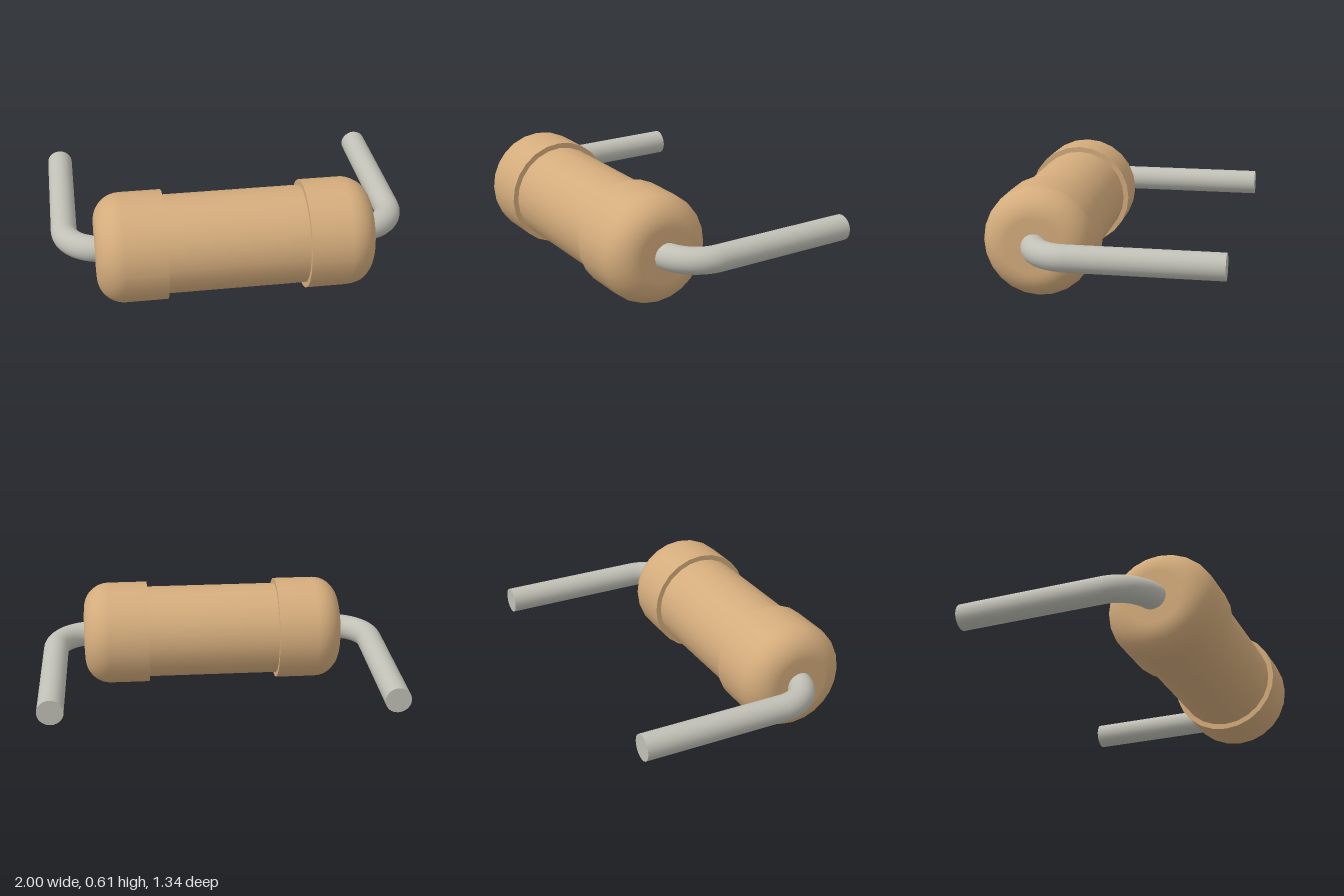
import * as THREE from 'three';

const AXIS_Y = 0.303, AXIS_Z = 0.365;       // body axis, running along x
const CAP_R = 0.303, CORE_R = 0.273;        // body radii
const CAP_IN = 0.385, CAP_OUT = 0.765;      // cap extent along x
const FILLET = 0.15;
const WIRE_R = 0.072, WIRE_X = 0.927, BEND = 0.215, WIRE_END = -0.67;
const SIDES = 24;

export function createModel() {
  const tan = new THREE.MeshStandardMaterial({ color: 0xd4ac7c });
  tan.name = 'tan coating';
  const metal = new THREE.MeshStandardMaterial({ color: 0xc0c0b6 });
  metal.name = 'grey metal';

  const model = new THREE.Group();
  model.name = 'resistor';
  const add = (parent, name, geometry, material) => {
    const mesh = new THREE.Mesh(geometry, material);
    mesh.name = name;
    parent.add(mesh);
    return mesh;
  };

  // Body: narrow core between two rounded caps
  const body = new THREE.Group();
  body.name = 'body';
  body.position.set(0, AXIS_Y, AXIS_Z);
  model.add(body);

  const core = new THREE.CylinderGeometry(CORE_R, CORE_R, CAP_IN * 2, SIDES, 1, true);
  add(body, 'core', core.rotateZ(-Math.PI / 2), tan);

  // Cap profile: straight wall, quarter-round shoulder, flat end
  const profile = [new THREE.Vector2(CAP_R, CAP_IN)];
  for (let i = 0; i <= 10; i++) {
    const a = (i / 10) * Math.PI / 2;
    profile.push(new THREE.Vector2(
      CAP_R - FILLET + FILLET * Math.cos(a),
      CAP_OUT - FILLET + FILLET * Math.sin(a)));
  }
  profile.push(new THREE.Vector2(0, CAP_OUT));

  for (const side of [1, -1]) {
    const label = side > 0 ? 'left' : 'right';

    const cap = new THREE.Group();
    cap.name = label + 'Cap';
    cap.rotation.y = side > 0 ? 0 : Math.PI;
    body.add(cap);
    add(cap, label + 'CapShell', new THREE.LatheGeometry(profile, SIDES).rotateZ(-Math.PI / 2), tan);
    // Step facing the middle of the body
    const step = new THREE.RingGeometry(CORE_R, CAP_R, SIDES).rotateY(-Math.PI / 2);
    add(cap, label + 'CapStep', step.translate(CAP_IN, 0, 0), tan);

    // Lead: quarter bend out of the cap, then a straight wire to the back
    const lead = new THREE.Group();
    lead.name = label + 'Lead';
    lead.position.y = AXIS_Y;
    model.add(lead);

    const bendZ = AXIS_Z - BEND;
    const bend = new THREE.TorusGeometry(BEND, WIRE_R, SIDES, 14, Math.PI / 2);
    if (side < 0) bend.rotateZ(Math.PI / 2);
    bend.rotateX(Math.PI / 2).translate(side * (WIRE_X - BEND), 0, bendZ);
    add(lead, label + 'LeadBend', bend, metal);

    const length = bendZ - WIRE_END;
    const wire = new THREE.CylinderGeometry(WIRE_R, WIRE_R, length, SIDES).rotateX(Math.PI / 2);
    add(lead, label + 'LeadWire', wire.translate(side * WIRE_X, 0, bendZ - length / 2), metal);
  }
  return model;
}
